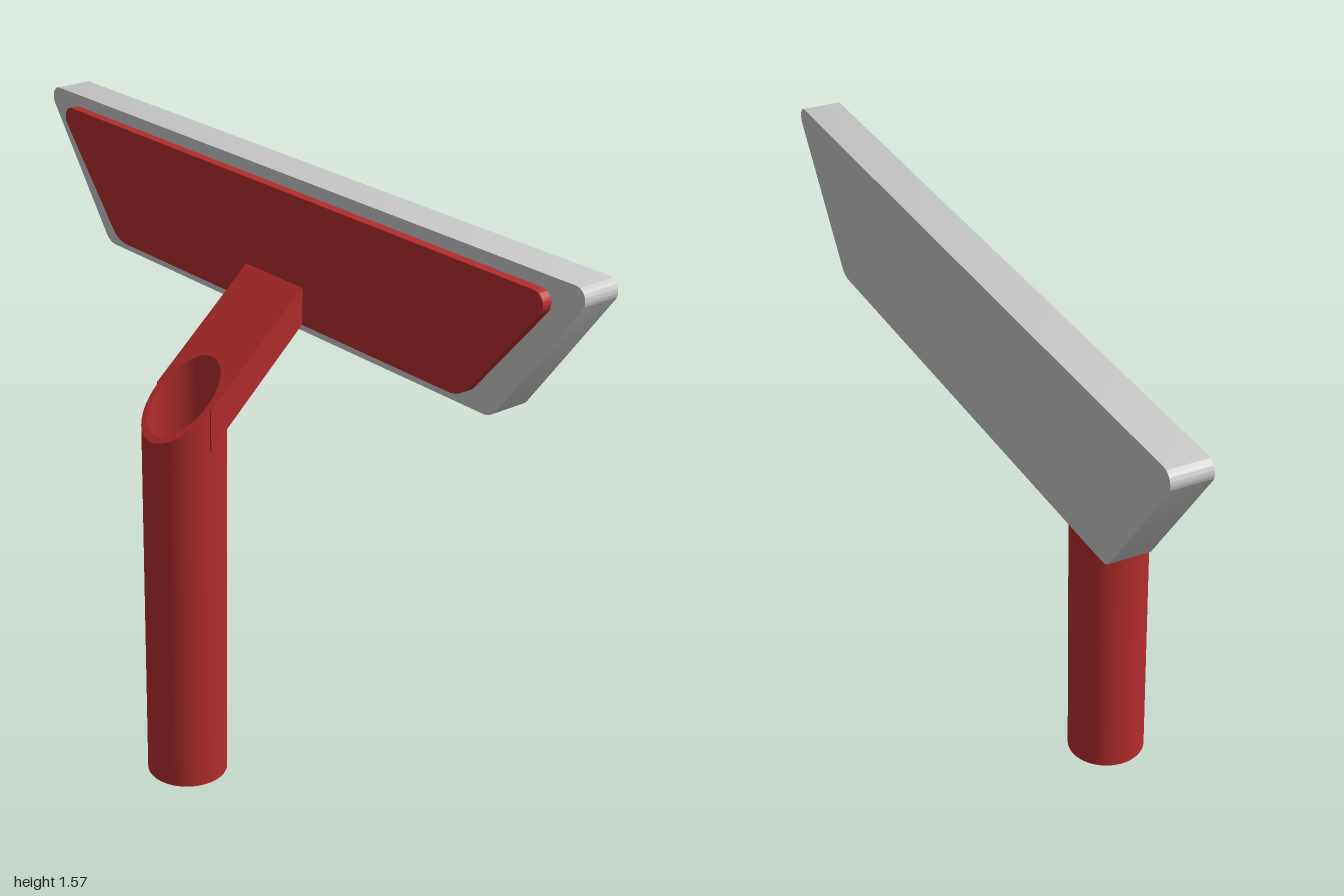
import * as THREE from 'three';
import { toCreasedNormals } from 'three/addons/utils/BufferGeometryUtils.js';

const red = new THREE.MeshStandardMaterial({ color: 0xb42d2d });
red.name = 'red paint';
const grey = new THREE.MeshStandardMaterial({ color: 0xc9c9c9 });
grey.name = 'light grey';

function mesh(name, geometry, material) {
  const m = new THREE.Mesh(toCreasedNormals(geometry, 0.5), material);
  m.name = name;
  return m;
}

// Convex counter-clockwise outline with a radius per corner: [x, y, r]
function roundedShape(corners) {
  const shape = new THREE.Shape();
  const n = corners.length;
  const pts = corners.map(([x, y]) => new THREE.Vector2(x, y));
  pts.forEach((p, i) => {
    const r = corners[i][2];
    const dIn = p.clone().sub(pts[(i + n - 1) % n]).normalize();
    const dOut = pts[(i + 1) % n].clone().sub(p).normalize();
    const half = Math.acos(-dIn.dot(dOut)) / 2;
    const c = dOut.clone().sub(dIn).normalize().multiplyScalar(r / Math.sin(half)).add(p);
    shape.absarc(c.x, c.y, r, Math.atan2(-dIn.x, dIn.y), Math.atan2(-dOut.x, dOut.y), false);
  });
  shape.closePath();
  return shape;
}

// Symmetric trapezoid slab, wide at the top
function slab(topX, bottomX, y0, y1, rTop, rBottom, z0, z1) {
  const shape = roundedShape([
    [-bottomX, y0, rBottom], [bottomX, y0, rBottom], [topX, y1, rTop], [-topX, y1, rTop],
  ]);
  const g = new THREE.ExtrudeGeometry(shape, { depth: z1 - z0, bevelEnabled: false, curveSegments: 10 });
  return g.translate(0, 0, z0);
}

// Vertical prism over a plan outline (x, -z), cut below and above by sloping planes
function cutPrism(shape, bottom, top) {
  const g = new THREE.ExtrudeGeometry(shape, { depth: 1, bevelEnabled: false, curveSegments: 40 });
  g.rotateX(-Math.PI / 2);
  const p = g.attributes.position;
  for (let i = 0; i < p.count; i++) {
    const z = p.getZ(i);
    p.setY(i, p.getY(i) > 0.5 ? top(z) : bottom(z));
  }
  g.computeVertexNormals();
  return g;
}

export function createModel() {
  const group = new THREE.Group();
  group.name = 'signOnPost';
  const postZ = 0.15;
  const topPlane = (z) => 0.975 + 0.885 * (0.255 - z);
  const underPlane = (z) => 1.22 - 0.93 * (z + 0.13);

  // Hollow post with a mitred top
  const ring = new THREE.Shape();
  ring.absarc(0, -postZ, 0.105, 0, Math.PI * 2, false);
  const bore = new THREE.Path();
  bore.absarc(0, -postZ, 0.09, 0, Math.PI * 2, true);
  ring.holes.push(bore);
  group.add(mesh('post', cutPrism(ring, () => 0, topPlane), red));

  // Sloping arm notched around the back half of the post
  const plan = new THREE.Shape();
  plan.moveTo(0.11, -postZ);
  plan.lineTo(0.11, 0.135);
  plan.lineTo(-0.11, 0.135);
  plan.lineTo(-0.11, -postZ);
  plan.lineTo(-0.105, -postZ);
  plan.absarc(0, -postZ, 0.105, Math.PI, 0, true);
  plan.closePath();
  group.add(mesh('arm', cutPrism(plan, underPlane, topPlane), red));

  // Mounting plate and the thick panel behind it
  group.add(mesh('mountingPlate', slab(0.94, 0.668, 1.22, 1.54, 0.03, 0.08, -0.155, -0.13), red));
  group.add(mesh('panel', slab(1.03, 0.745, 1.19, 1.572, 0.03, 0.05, -0.255, -0.155), grey));
  return group;
}
